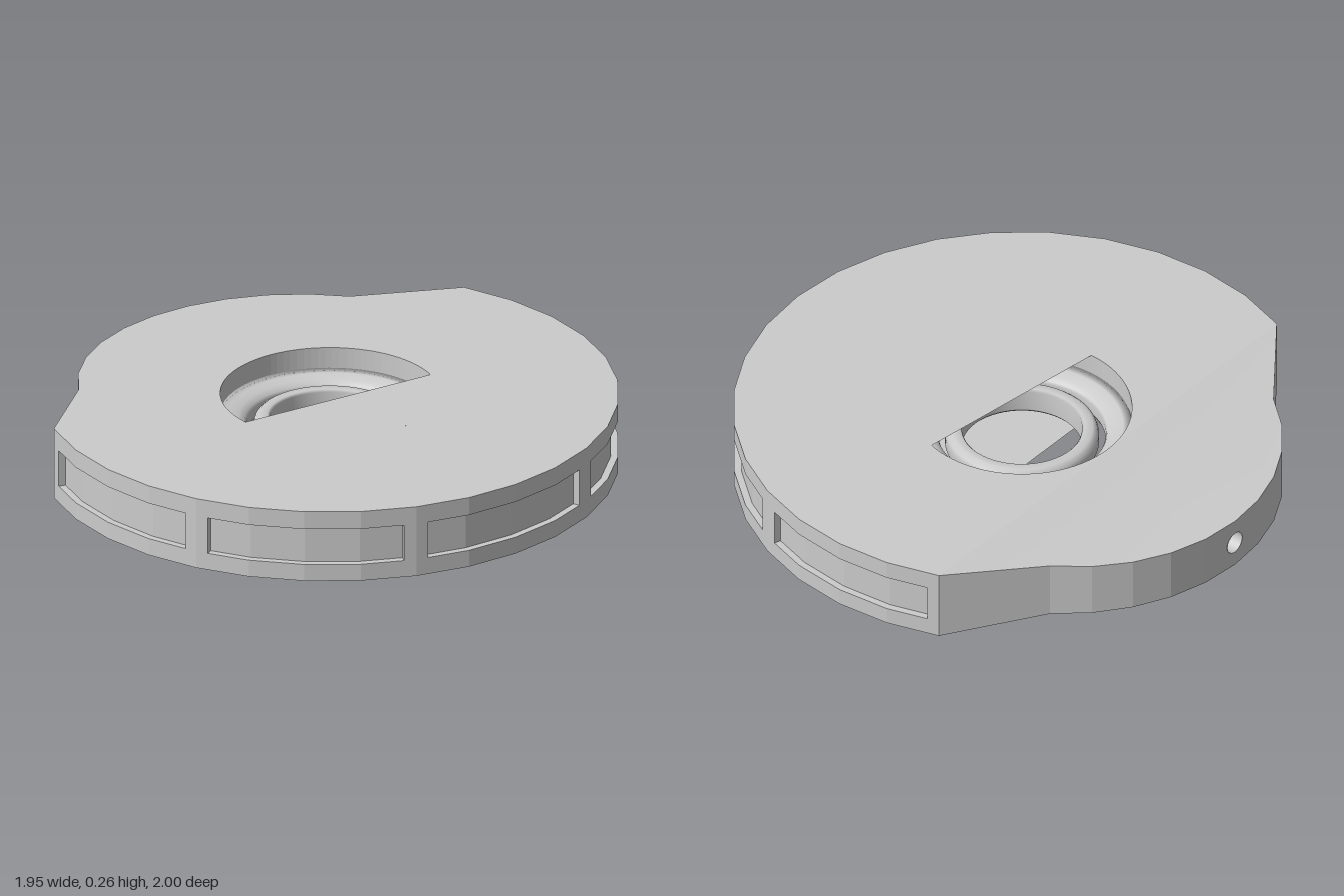
import * as THREE from 'three';

const H = 0.262, MID = H / 2;         // body height and mid plane
const CX = -0.025, HOLE = 0.38;       // axis of the disc, bore radius
const STEP = 11.25;                   // facet angle of the rim
const WIN_LOW = 0.062, WIN_HIGH = 0.196;
const rad = THREE.MathUtils.degToRad;

const grey = new THREE.MeshStandardMaterial({ color: 0xcccccc });
const greyThin = new THREE.MeshStandardMaterial({ color: 0xcccccc, side: THREE.DoubleSide });

// Point on the faceted rim (2D: x, model z)
function rimPoint(deg, r = 1) {
  const local = ((deg % STEP) + STEP) % STEP;
  const f = r * Math.cos(rad(STEP / 2)) / Math.cos(rad(local - STEP / 2));
  return new THREE.Vector2(CX + f * Math.cos(rad(deg)), f * Math.sin(rad(deg)));
}

// Point on the faceted tail arc, angle measured from -x
function tailPoint(deg) {
  return new THREE.Vector2(-0.24 - 0.735 * Math.cos(rad(deg)), 0.735 * Math.sin(rad(deg)));
}

// Half height: full at the disc, thinner toward the tail tip
function halfHeight(x) {
  const edge = rimPoint(112.5).x;
  if (x >= edge) return MID;
  if (x >= -0.648) return THREE.MathUtils.mapLinear(x, edge, -0.648, MID, 0.104);
  return THREE.MathUtils.mapLinear(x, -0.648, -0.975, 0.104, 0.094);
}

function addMesh(parent, name, geometry, material = grey) {
  const mesh = new THREE.Mesh(geometry, material);
  mesh.name = name;
  parent.add(mesh);
  return mesh;
}

// Horizontal layer with the round bore
function layer(points, low, high) {
  const shape = new THREE.Shape(points);
  const bore = new THREE.Path();
  bore.absarc(CX, 0, HOLE, 0, Math.PI * 2, true);
  shape.holes.push(bore);
  const g = new THREE.ExtrudeGeometry(shape, { depth: high - low, bevelEnabled: false, curveSegments: 48 });
  return g.rotateX(Math.PI / 2).translate(0, high, 0);
}

// Thin cover over one part of the bore, bounded by a straight chord
function coverGeometry(from, to, y) {
  const shape = new THREE.Shape();
  shape.absarc(CX, 0, HOLE, rad(from), rad(to), false);
  return new THREE.ShapeGeometry(shape, 32).rotateX(Math.PI / 2).translate(0, y, 0);
}

// Vertical wall following a path, as high as the body at each point
function wallGeometry(path) {
  const pos = [];
  for (let i = 0; i + 1 < path.length; i++) {
    const a = path[i], b = path[i + 1];
    const ha = halfHeight(a.x), hb = halfHeight(b.x);
    const a0 = [a.x, MID - ha, a.y], a1 = [a.x, MID + ha, a.y];
    const b0 = [b.x, MID - hb, b.y], b1 = [b.x, MID + hb, b.y];
    pos.push(...a0, ...b0, ...b1, ...a0, ...b1, ...a1);
  }
  const g = new THREE.BufferGeometry();
  g.setAttribute('position', new THREE.Float32BufferAttribute(pos, 3));
  g.computeVertexNormals();
  return g;
}

// One facet of the tail tip with half of the round side hole cut out
function tipFacet(side, holeRadius) {
  const tip = tailPoint(0), end = tailPoint(STEP);
  const h0 = halfHeight(tip.x), h1 = halfHeight(end.x);
  const s = new THREE.Shape();
  s.moveTo(0, -h0);
  s.lineTo(end.y, -h1);
  s.lineTo(end.y, h1);
  s.lineTo(0, h0);
  s.lineTo(0, holeRadius);
  s.absarc(0, 0, holeRadius, Math.PI / 2, -Math.PI / 2, true);
  const g = new THREE.ShapeGeometry(s, 16);
  const p = g.attributes.position;
  for (let i = 0; i < p.count; i++) {
    const z = p.getX(i), y = p.getY(i);
    p.setXYZ(i, THREE.MathUtils.lerp(tip.x, end.x, z / end.y), MID + y, side * z);
  }
  if (side < 0) g.index.array.reverse();
  g.computeVertexNormals();
  return g;
}

// Bearing ring: half profile mirrored about the mid plane
function ringGeometry(half) {
  const lower = half.map(([r, h]) => new THREE.Vector2(r, -h));
  const upper = half.map(([r, h]) => new THREE.Vector2(r, h)).reverse();
  const profile = [...lower, ...upper, lower[0].clone()];
  return new THREE.LatheGeometry(profile, 64).translate(CX, MID, 0);
}

export function createModel() {
  const model = new THREE.Group();
  model.name = 'bearingDisc';

  // Disc: two full rims around a middle layer with five shallow windows
  const rim = [];
  for (let d = -112.5; d <= 112.5; d += STEP) rim.push(rimPoint(d));
  const windowed = [rimPoint(-112.5)];
  for (let c = -90; c <= 90; c += 45) {
    windowed.push(rimPoint(c - 20));
    for (const d of [-20, -STEP, 0, STEP, 20]) windowed.push(rimPoint(c + d, 0.975));
    windowed.push(rimPoint(c + 20), rimPoint(c + 22.5));
  }
  const disc = new THREE.Group();
  disc.name = 'disc';
  model.add(disc);
  addMesh(disc, 'lowerRim', layer(rim, 0, WIN_LOW));
  addMesh(disc, 'windowBand', layer(windowed, WIN_LOW, WIN_HIGH));
  addMesh(disc, 'upperRim', layer(rim, WIN_HIGH, H));

  // Covers that close part of the bore
  addMesh(disc, 'topCover', coverGeometry(-74, 90, H), greyThin);
  addMesh(disc, 'bottomCover', coverGeometry(-90, 90, 0), greyThin);

  // Tail: tapered slab with a hole in its tip
  const tail = new THREE.Group();
  tail.name = 'tail';
  model.add(tail);
  const outline = [rimPoint(112.5)];
  for (let i = 5; i >= -5; i--) outline.push(tailPoint(i * STEP));
  outline.push(rimPoint(-112.5));
  for (const side of [1, -1]) {
    const cap = new THREE.ShapeGeometry(new THREE.Shape(outline)).rotateX(Math.PI / 2);
    const p = cap.attributes.position;
    for (let i = 0; i < p.count; i++) p.setY(i, MID + side * halfHeight(p.getX(i)));
    if (side > 0) cap.index.array.reverse();
    cap.computeVertexNormals();
    addMesh(tail, side > 0 ? 'tailTop' : 'tailBottom', cap, greyThin);
    addMesh(tail, 'tailTipFacet', tipFacet(side, 0.04), greyThin);
  }
  addMesh(tail, 'tailWallLeft', wallGeometry(outline.slice(0, 6)), greyThin);
  addMesh(tail, 'tailWallRight', wallGeometry(outline.slice(7)), greyThin);
  const tunnel = new THREE.CylinderGeometry(0.04, 0.04, 0.565, 32, 1, true).rotateZ(Math.PI / 2);
  addMesh(tail, 'sideHole', tunnel.translate(-0.6915, MID, 0), greyThin);

  // Bearing: outer and inner race with an open gap between them
  const bearing = new THREE.Group();
  bearing.name = 'bearing';
  model.add(bearing);
  addMesh(bearing, 'outerRace', ringGeometry(
    [[0.29, 0.018], [0.295, 0.03], [0.315, 0.042], [0.35, 0.05], [0.379, 0.055]]), greyThin);
  addMesh(bearing, 'innerRace', ringGeometry(
    [[0.208, 0.04], [0.215, 0.048], [0.245, 0.048], [0.26, 0.035], [0.266, 0.018]]), greyThin);

  return model;
}
